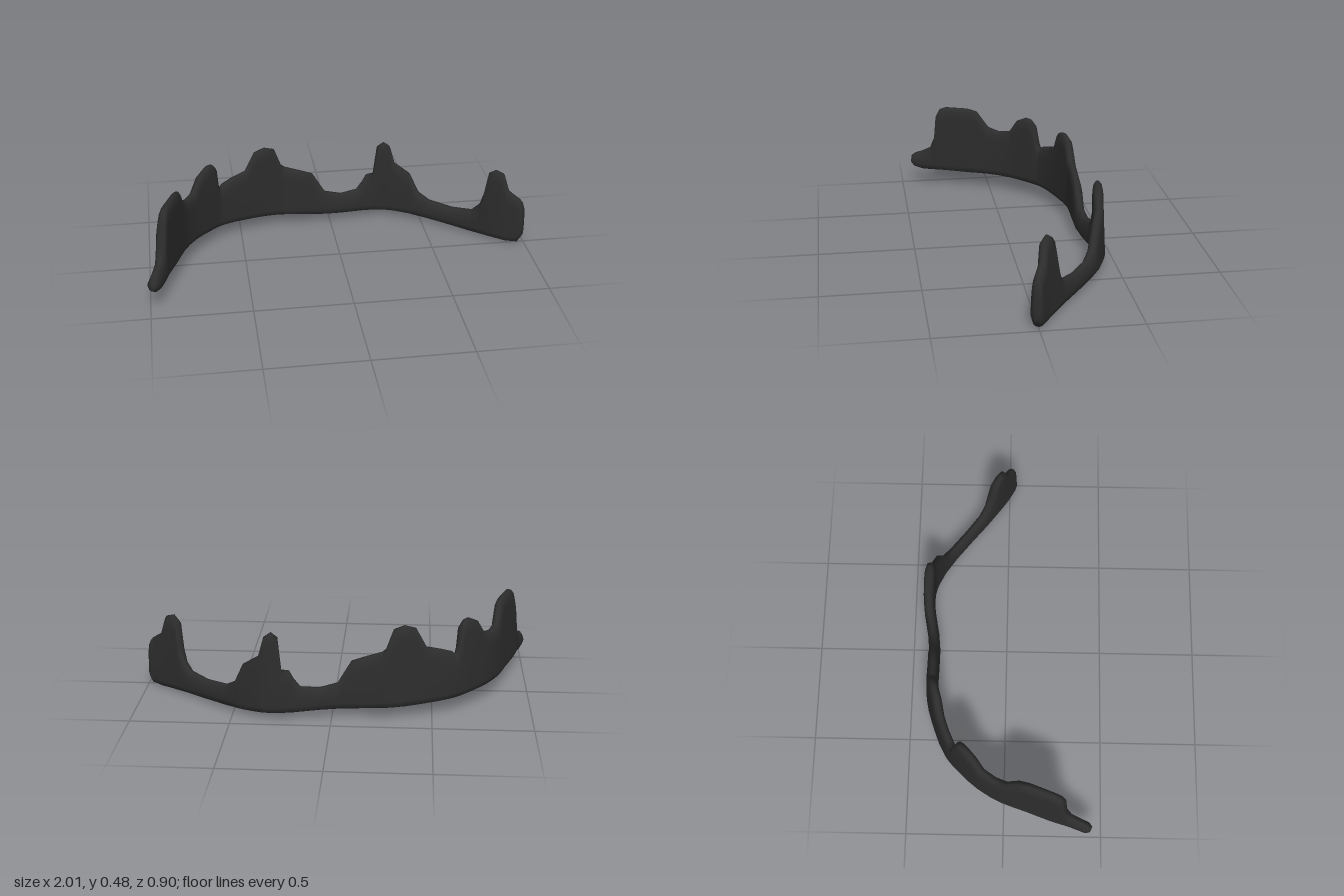
import * as THREE from 'three';

// Ground plan of the wall, [x, z] from the right end to the left end
const PLAN = [
  [-0.988, 0.443], [-0.95, 0.35], [-0.92, 0.25], [-0.872, 0.12], [-0.83, 0], [-0.775, -0.1],
  [-0.70, -0.19], [-0.6, -0.28], [-0.45, -0.345], [-0.3, -0.385], [-0.15, -0.385], [0, -0.385],
  [0.1, -0.4], [0.2, -0.418], [0.3, -0.42], [0.4, -0.39], [0.5, -0.33], [0.6, -0.26],
  [0.7, -0.18], [0.8, -0.105], [0.9, -0.035], [0.99, 0.018],
];

// Skyline of the broken top edge, [x, height]
const SKYLINE = [
  [-0.988, 0.175], [-0.98, 0.192], [-0.963, 0.21], [-0.945, 0.235], [-0.938, 0.30], [-0.934, 0.43], [-0.928, 0.475],
  [-0.916, 0.49], [-0.872, 0.49], [-0.855, 0.475], [-0.833, 0.385], [-0.805, 0.365], [-0.765, 0.375],
  [-0.73, 0.45], [-0.69, 0.478], [-0.665, 0.475], [-0.645, 0.45], [-0.632, 0.35], [-0.618, 0.305], [-0.6, 0.328],
  [-0.54, 0.35], [-0.47, 0.37], [-0.42, 0.47], [-0.365, 0.487], [-0.31, 0.47], [-0.27, 0.37],
  [-0.25, 0.355], [-0.17, 0.33], [-0.1, 0.305], [-0.03, 0.19], [0.06, 0.165], [0.15, 0.175],
  [0.185, 0.22], [0.205, 0.26], [0.245, 0.265], [0.265, 0.43], [0.30, 0.455], [0.335, 0.43],
  [0.36, 0.33], [0.44, 0.275], [0.485, 0.17], [0.54, 0.135], [0.65, 0.125], [0.74, 0.14],
  [0.78, 0.19], [0.80, 0.26], [0.82, 0.39], [0.85, 0.415], [0.885, 0.4], [0.912, 0.305],
  [0.965, 0.265], [0.98, 0.245], [0.99, 0.21],
];

// Half cross-section: [distance from the edge, half thickness]
const LOWER = [[0, 0.01], [0.008, 0.022], [0.035, 0.03]];
const UPPER = [[0.06, 0.026], [0.018, 0.02], [0, 0.007]];

function wallGeometry() {
  const path = new THREE.CatmullRomCurve3(PLAN.map(([x, z]) => new THREE.Vector3(x, 0, z)));
  const samples = path.getPoints(800);

  const positions = [];
  const index = [];
  const ringSize = (LOWER.length + UPPER.length) * 2;

  SKYLINE.forEach(([x, top]) => {
    let k = samples.findIndex((p) => p.x >= x - 1e-6);
    k = THREE.MathUtils.clamp(k < 0 ? 800 : k, 1, 799);
    const p = x >= 0.99 ? samples[800] : x <= -0.988 ? samples[0] : samples[k];
    const t = samples[k + 1].clone().sub(samples[k - 1]).normalize();

    // Sloping foot, lifted to round off both ends
    const lift = Math.max(0, x - 0.96) * 1.9 + Math.max(0, -0.975 - x) * 2;
    const bottom = 0.053 - 0.051 * x + lift;
    const height = top - bottom;
    const slim = x < -0.985 || x > 0.985 ? 0.5 : 1;

    const side = [
      ...LOWER.map(([d, w]) => [bottom + Math.min(d, height * 0.4), w]),
      ...UPPER.map(([d, w]) => [top - Math.min(d, height * 0.4), w]),
    ];
    const ring = [...side, ...side.map(([y, w]) => [y, -w]).reverse()];
    ring.forEach(([y, w]) => {
      // Tall parts lean slightly to the inside of the curve
      const off = w * slim + Math.max(0, y - 0.2) * 0.07;
      positions.push(p.x - t.z * off, y, p.z + t.x * off);
    });
  });

  // Skin between neighbouring sections
  const rings = SKYLINE.length;
  for (let i = 0; i < rings - 1; i++) {
    for (let j = 0; j < ringSize; j++) {
      const n = (j + 1) % ringSize;
      const a = i * ringSize + j, d = i * ringSize + n;
      const b = a + ringSize, c = d + ringSize;
      index.push(a, b, c, a, c, d);
    }
  }
  // End caps
  const last = (rings - 1) * ringSize;
  for (let j = 1; j < ringSize - 1; j++) {
    index.push(0, j, j + 1);
    index.push(last, last + j + 1, last + j);
  }

  const geometry = new THREE.BufferGeometry();
  geometry.setAttribute('position', new THREE.Float32BufferAttribute(positions, 3));
  geometry.setIndex(index);
  geometry.computeVertexNormals();
  return geometry;
}

export function createModel() {
  const charcoal = new THREE.MeshStandardMaterial({ color: 0x2d2d2d });
  charcoal.name = 'charcoal';

  const wall = new THREE.Mesh(wallGeometry(), charcoal);
  wall.name = 'brokenCurvedWall';

  const group = new THREE.Group();
  group.name = 'curvedRuin';
  group.add(wall);
  return group;
}
